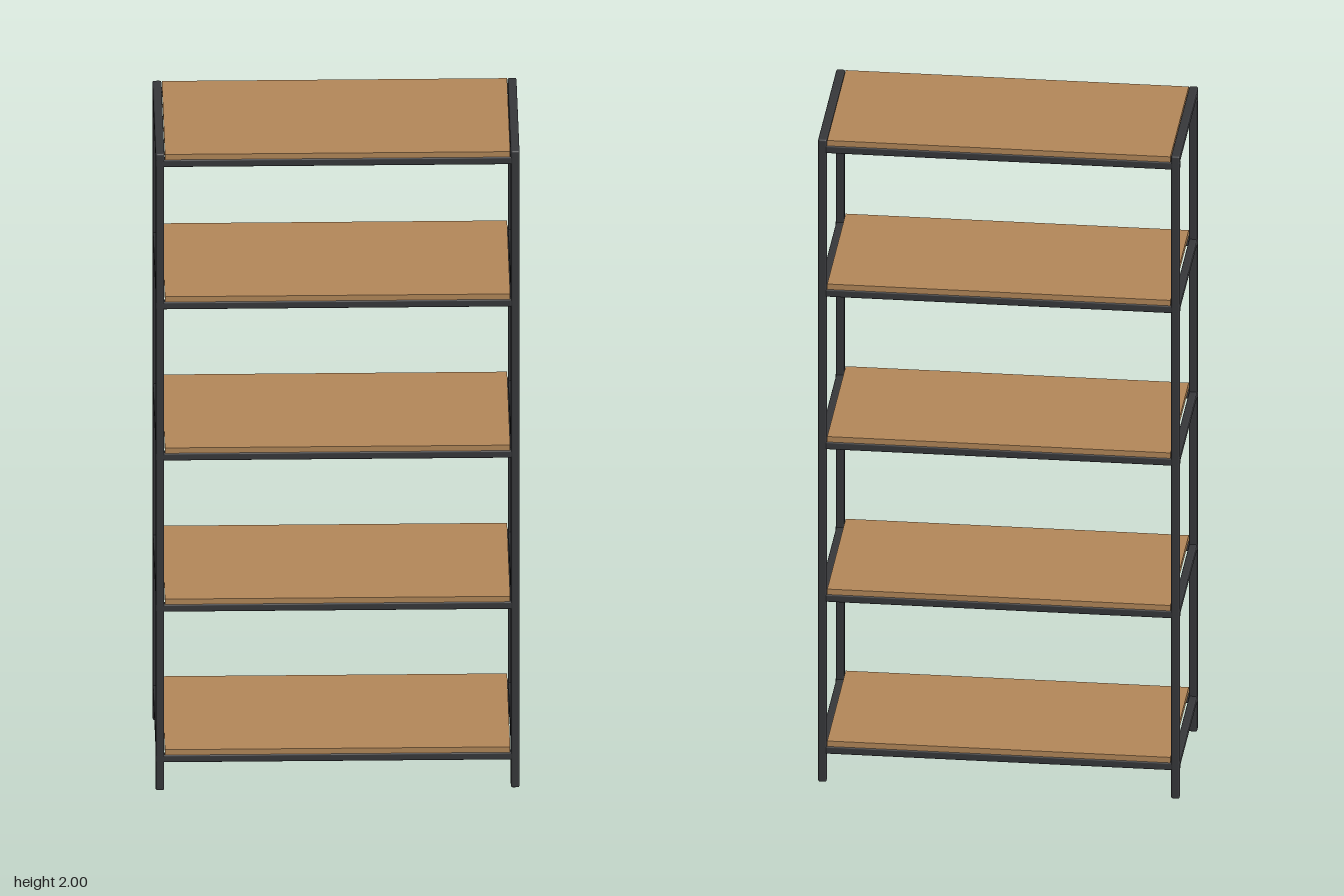
import * as THREE from 'three';
import { RoundedBoxGeometry } from 'three/addons/geometries/RoundedBoxGeometry.js';

const TUBE = 0.024;            // square tube section
const POST_X = 0.5, POST_Z = 0.2225;
const SHELF_Y = [0.087, 0.56, 1.035, 1.51, 1.957]; // underside of each shelf rail

export function createModel() {
  const group = new THREE.Group();
  const metal = new THREE.MeshStandardMaterial({ color: 0x37383b });
  metal.name = 'dark metal';
  const wood = new THREE.MeshStandardMaterial({ color: 0xb5895a });
  wood.name = 'wood';

  const add = (name, geometry, material, x, y, z) => {
    const mesh = new THREE.Mesh(geometry, material);
    mesh.name = name;
    mesh.position.set(x, y, z);
    group.add(mesh);
  };

  // Tubes with softened edges
  const tube = (w, h, d) => new RoundedBoxGeometry(w, h, d, 3, 0.005);
  const postGeo = tube(TUBE, 2, TUBE + 0.001);
  const longRailGeo = tube(1.026, TUBE, TUBE - 0.002);
  const sideRailGeo = tube(TUBE - 0.002, TUBE, POST_Z * 2);
  const topRailGeo = tube(TUBE + 0.001, TUBE, POST_Z * 2 + TUBE);
  const boardGeo = new THREE.BoxGeometry(0.972, 0.017, 0.466);

  // Four corner posts
  for (const sx of [-1, 1]) {
    for (const sz of [-1, 1]) add('post', postGeo, metal, sx * POST_X, 1, sz * POST_Z);
  }

  // Shelves: long rails, end rails and a board resting on them
  SHELF_Y.forEach((y, i) => {
    const top = i === SHELF_Y.length - 1;
    const railY = y + TUBE / 2;
    for (const s of [-1, 1]) {
      add('longRail', longRailGeo, metal, 0, railY, s * POST_Z);
      // The end rails of the highest shelf cap the posts
      if (top) add('topEndRail', topRailGeo, metal, s * POST_X, 2 - TUBE / 2, 0);
      else add('endRail', sideRailGeo, metal, s * POST_X, railY, 0);
    }
    add('shelfBoard', boardGeo, wood, 0, y + TUBE + 0.0085, 0);
  });

  return group;
}
